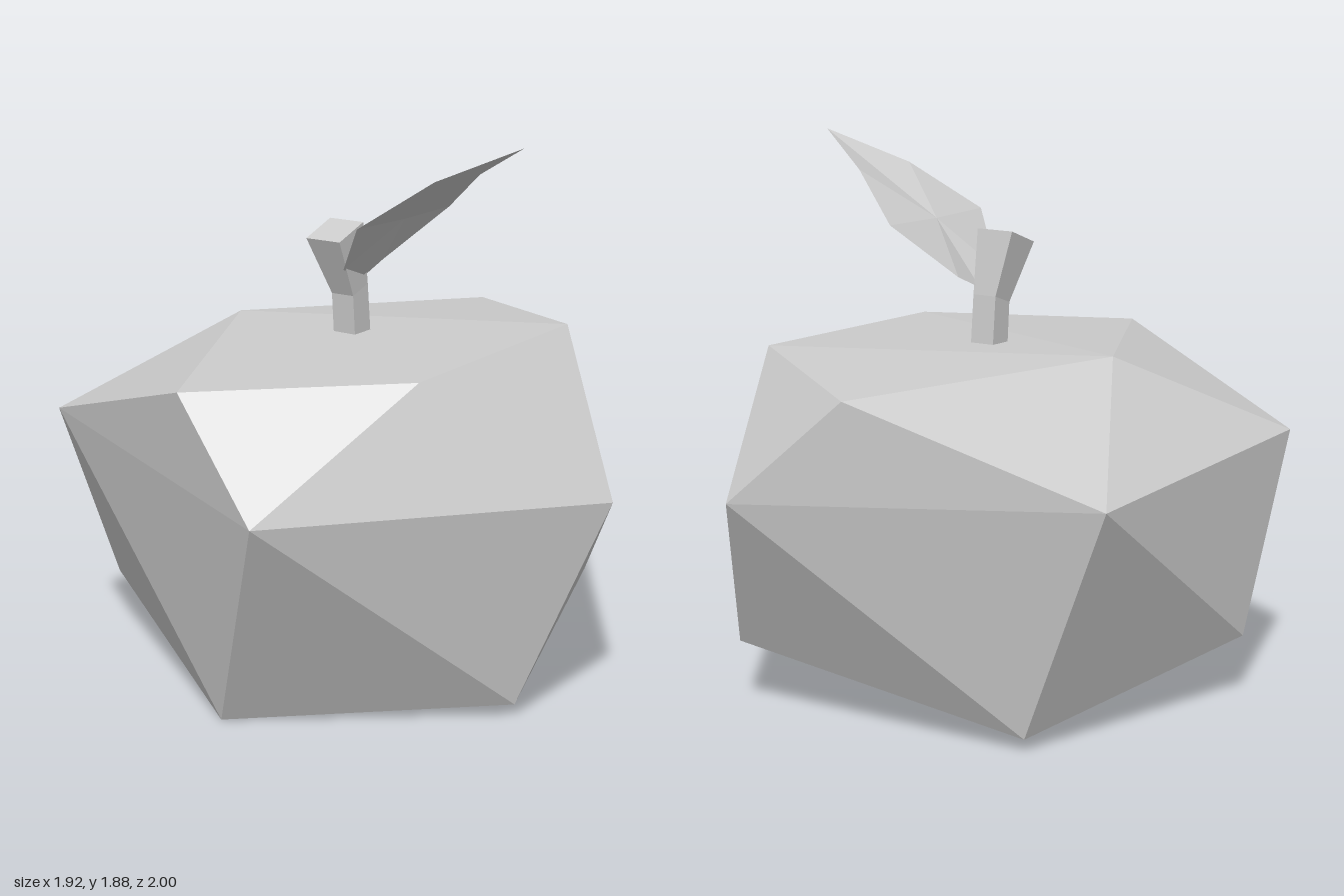
import * as THREE from 'three';

// Flat-shaded mesh from lettered corners and three-letter faces
function faceted(name, corners, faces, side = THREE.FrontSide) {
  const pos = faces.split(' ').flatMap(f => [...f].flatMap(k => corners[k]));
  const geo = new THREE.BufferGeometry();
  geo.setAttribute('position', new THREE.Float32BufferAttribute(pos, 3));
  geo.computeVertexNormals();
  const mesh = new THREE.Mesh(geo, new THREE.MeshStandardMaterial({ color: 0xcccccc, flatShading: true, side }));
  mesh.name = name;
  return mesh;
}

// Irregular faceted fruit body
function makeBody() {
  const corners = {
    A: [-0.58, 1.2, 0], B: [0.49, 1.18, 0.43], C: [0.48, 1.2, -0.49], // top
    D: [-0.13, 1.15, 0.885], E: [-0.13, 1.15, -0.885], // shoulders
    F: [0.25, 0.79, 1], G: [0.25, 0.79, -1], H: [0.96, 0.76, 0],
    I: [-0.96, 0.9, 0.55], J: [-0.93, 0.85, -0.61],
    K: [0.69, 0.045, 0.15], L: [-0.09, 0, 0.74], M: [-0.94, 0.23, 0.28], // base
    N: [-0.61, 0.045, -0.57], P: [0.43, 0.23, -0.73],
  };
  const top = 'AID ADB ABC ACE AEJ AJI';
  const sides = 'DFB BFH BHC CHG CGE IFD ILF IML FLK FKH HKP HPG EGJ GNJ GPN JNM JMI';
  const bottom = 'KNP KLN NLM';
  return faceted('body', corners, `${top} ${sides} ${bottom}`);
}

// Square stem that bends forward and flares at its top
function makeStem() {
  const rings = [ // x centre, half width, back [y, z], front [y, z]
    [-0.085, 0.045, [1.19, -0.04], [1.19, 0.05]],
    [-0.085, 0.045, [1.36, -0.025], [1.33, 0.06]],
    [-0.1, 0.07, [1.58, 0.015], [1.53, 0.15]],
  ];
  const corners = {};
  const names = ['abcd', 'efgh', 'ijkl'];
  rings.forEach(([x, w, back, front], i) => {
    const [p, q, r, s] = names[i];
    corners[p] = [x - w, ...front];
    corners[q] = [x + w, ...front];
    corners[r] = [x + w, ...back];
    corners[s] = [x - w, ...back];
  });
  const faces = ['ijk', 'ikl', 'acb', 'adc'];
  for (let i = 0; i < 2; i++) {
    for (let j = 0; j < 4; j++) {
      const k = (j + 1) % 4, lo = names[i], hi = names[i + 1];
      faces.push(lo[j] + lo[k] + hi[k], lo[j] + hi[k] + hi[j]);
    }
  }
  return faceted('stem', corners, faces.join(' '));
}

// Thin leaf, mirrored about its midrib
function makeLeaf() {
  const corners = { o: [-0.05, 1.38, 0], m: [0.13, 1.605, 0], t: [0.6, 1.885, 0] };
  const edge = { a: [-0.04, 1.43, 0.115], b: [0.13, 1.61, 0.27], c: [0.35, 1.77, 0.145] };
  for (const [k, [x, y, z]] of Object.entries(edge)) {
    corners[k] = [x, y, z];
    corners[k.toUpperCase()] = [x, y, -z];
  }
  return faceted('leaf', corners, 'oam abm bcm ctm omA AmB BmC Cmt', THREE.DoubleSide);
}

export function createModel() {
  const model = new THREE.Group();
  model.name = 'fruit';
  model.add(makeBody(), makeStem(), makeLeaf());
  return model;
}
